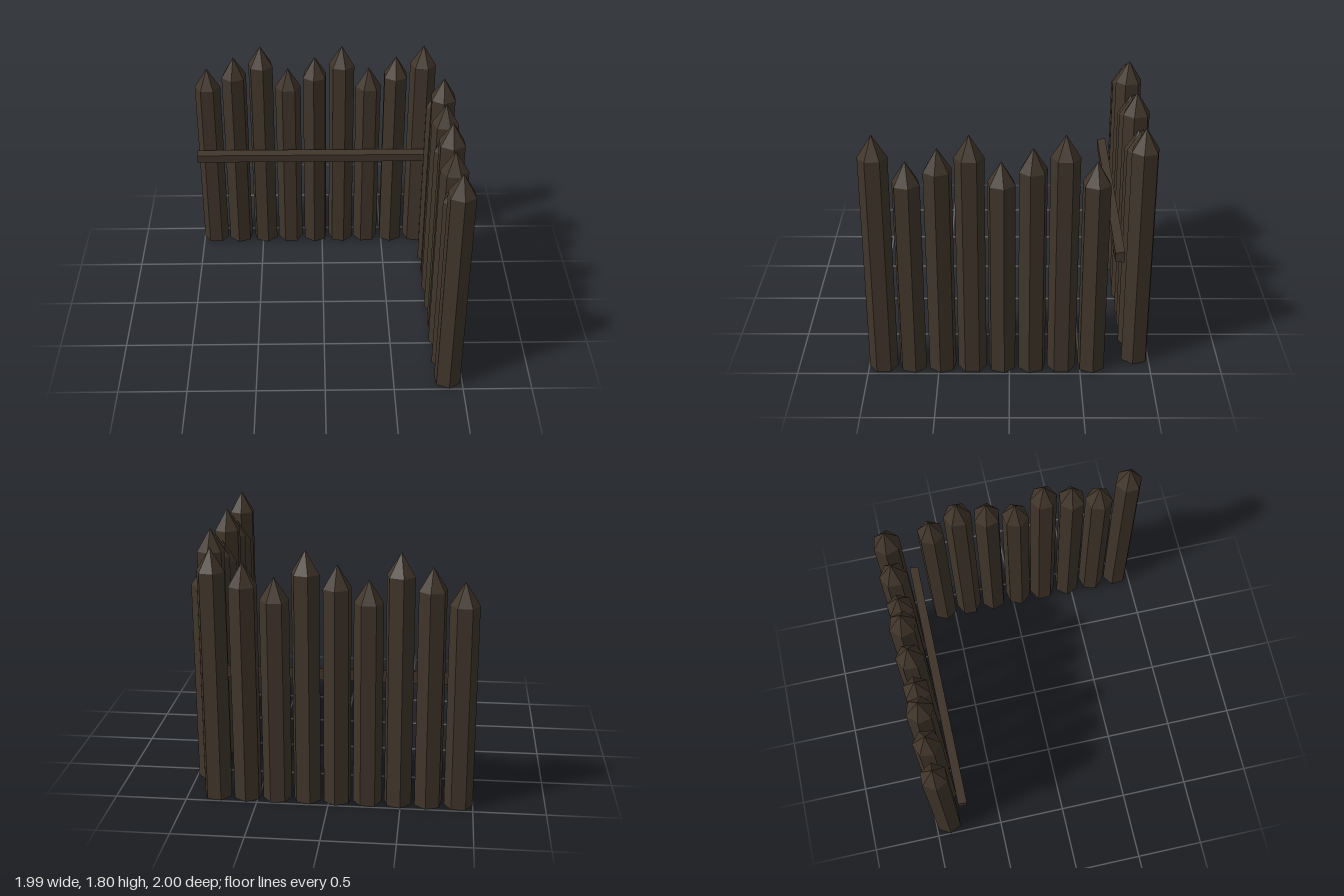
import * as THREE from 'three';

const SIDES = 6, RADIUS = 0.1, TIP = 0.16;
const HEIGHTS = [1.61, 1.705, 1.8];
const TWIST = THREE.MathUtils.degToRad(21.2);

const wood = new THREE.MeshStandardMaterial({ color: 0x40352a, flatShading: true });
wood.name = 'darkWood';

// One sharpened log: closed hexagonal shaft and a pointed tip
function makeStake(name, x, z, height, turn) {
  const stake = new THREE.Group();
  stake.name = name;
  const shaftHeight = height - TIP;

  const shaft = new THREE.Mesh(new THREE.CylinderGeometry(RADIUS, RADIUS, shaftHeight, SIDES), wood);
  shaft.name = 'shaft';
  shaft.position.y = shaftHeight / 2;

  const tip = new THREE.Mesh(new THREE.ConeGeometry(RADIUS, TIP, SIDES, 1, true), wood);
  tip.name = 'tip';
  tip.position.y = shaftHeight + TIP / 2;

  stake.add(shaft, tip);
  stake.position.set(x, 0, z);
  stake.rotation.y = turn;
  return stake;
}

export function createModel() {
  const model = new THREE.Group();
  model.name = 'cornerPalisade';

  // Back wall, running left to right
  const backWall = new THREE.Group();
  backWall.name = 'backWall';
  for (let i = 0; i < 9; i++) {
    const x = -0.9 + i * 0.2108;
    backWall.add(makeStake(`backStake${i + 1}`, x, -0.9, HEIGHTS[i % 3], -Math.PI / 6 + i * TWIST));
  }

  // Side wall, running from the corner to the front
  const sideWall = new THREE.Group();
  sideWall.name = 'sideWall';
  for (let i = 0; i < 8; i++) {
    const z = -0.58 + i * 0.2108;
    const turn = THREE.MathUtils.degToRad(-24) + i * TWIST;
    sideWall.add(makeStake(`sideStake${i + 1}`, 0.893, z, HEIGHTS[(2 * i) % 3], turn));
  }

  // Cross rail with a tapered section, inside the back wall
  const section = new THREE.Shape([
    new THREE.Vector2(0.722, 0.857),
    new THREE.Vector2(0.786, 0.847),
    new THREE.Vector2(0.786, 0.932),
    new THREE.Vector2(0.722, 0.92),
  ]);
  const railGeometry = new THREE.ExtrudeGeometry(section, { depth: 1.893, bevelEnabled: false });
  railGeometry.rotateY(Math.PI / 2);
  const rail = new THREE.Mesh(railGeometry, wood);
  rail.name = 'crossRail';
  rail.position.x = -1;

  model.add(backWall, sideWall, rail);
  return model;
}
